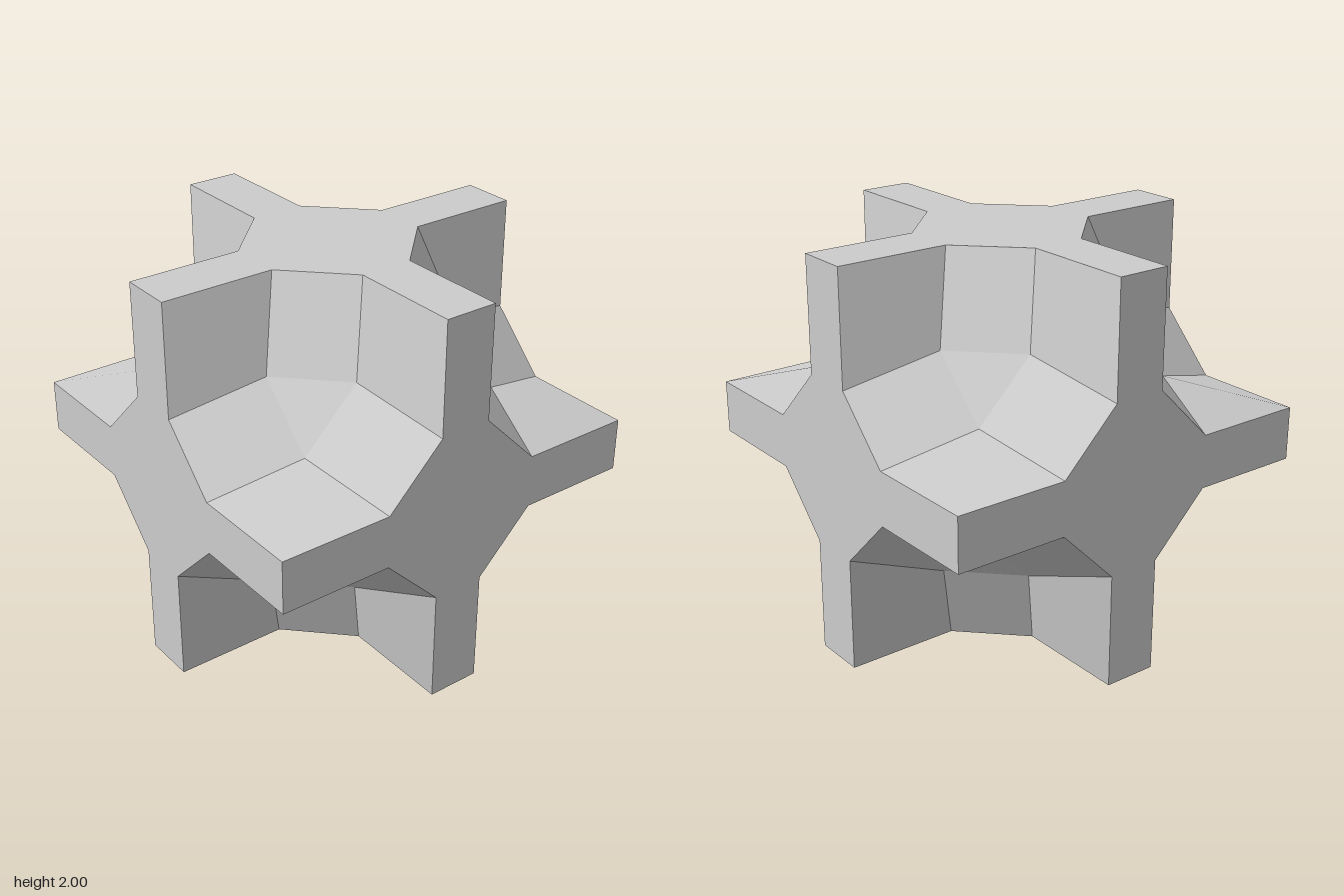
import * as THREE from 'three';

const T = 0.135; // half thickness of the walls
const K = 0.425; // start of the chamfer at each cross centre
const P = 0.27, Q = 0.56; // floor corners of the hollows

// Faces of one corner hollow; each repeats under cyclic swaps of the axes.
// Quads fold along their first diagonal.
const wall = [[T, 1, 1], [T, K, 1], [P, Q, Q], [T, 1, K]];
const slope = [[T, K, 1], [K, T, 1], [Q, P, Q], [P, Q, Q]];
const floor = [[P, Q, Q], [Q, P, Q], [Q, Q, P]];

const cycle = ([x, y, z], n) => (n === 0 ? [x, y, z] : cycle([z, x, y], n - 1));

function hollowGeometry(sx, sy, sz) {
  const faces = [floor];
  for (let n = 0; n < 3; n++) {
    faces.push(wall.map((p) => cycle(p, n)), slope.map((p) => cycle(p, n)));
  }
  const positions = [], normals = [];
  for (const face of faces) {
    let pts = face.map(([x, y, z]) => new THREE.Vector3(x * sx, y * sy, z * sz));
    // mirrored octants need the corner order reversed, keeping the first corner
    if (sx * sy * sz < 0) pts = [pts[0], ...pts.slice(1).reverse()];
    const last = pts[pts.length - 1];
    // one even normal for each face
    const normal = pts.length === 4
      ? pts[2].clone().sub(pts[0]).cross(last.clone().sub(pts[1])).normalize()
      : pts[1].clone().sub(pts[0]).cross(last.clone().sub(pts[0])).normalize();
    for (let i = 1; i < pts.length - 1; i++) {
      for (const p of [pts[0], pts[i], pts[i + 1]]) {
        positions.push(p.x, p.y, p.z);
        normals.push(normal.x, normal.y, normal.z);
      }
    }
  }
  const g = new THREE.BufferGeometry();
  g.setAttribute('position', new THREE.Float32BufferAttribute(positions, 3));
  g.setAttribute('normal', new THREE.Float32BufferAttribute(normals, 3));
  return g;
}

// Flat cross with chamfered inner corners, one quadrant turned four times
function crossGeometry() {
  const points = [];
  for (let i = 0; i < 4; i++) {
    for (const [x, y] of [[1, T], [K, T], [T, K], [T, 1]]) {
      points.push(new THREE.Vector2(x, y).rotateAround(new THREE.Vector2(), i * Math.PI / 2));
    }
  }
  return new THREE.ShapeGeometry(new THREE.Shape(points)).translate(0, 0, 1);
}

export function createModel() {
  const model = new THREE.Group();
  model.name = 'hollowCornerCube';
  const grey = new THREE.MeshStandardMaterial({ color: 0xcccccc });
  grey.name = 'light grey';

  const add = (name, geometry) => {
    const mesh = new THREE.Mesh(geometry, grey);
    mesh.name = name;
    mesh.position.y = 1;
    model.add(mesh);
    return mesh;
  };

  // Six flat cross faces
  const h = Math.PI / 2;
  const sides = {
    front: [0, 0], back: [0, Math.PI], left: [0, h], right: [0, -h], top: [-h, 0], bottom: [h, 0],
  };
  for (const [side, [rx, ry]] of Object.entries(sides)) {
    add(side + 'Cross', crossGeometry()).rotation.set(rx, ry, 0);
  }

  // Eight corner hollows
  for (const sx of [1, -1]) for (const sy of [1, -1]) for (const sz of [1, -1]) {
    const name = (sy > 0 ? 'top' : 'bottom') + (sz > 0 ? 'Front' : 'Back') + (sx > 0 ? 'Left' : 'Right');
    add(name + 'Hollow', hollowGeometry(sx, sy, sz));
  }
  return model;
}
